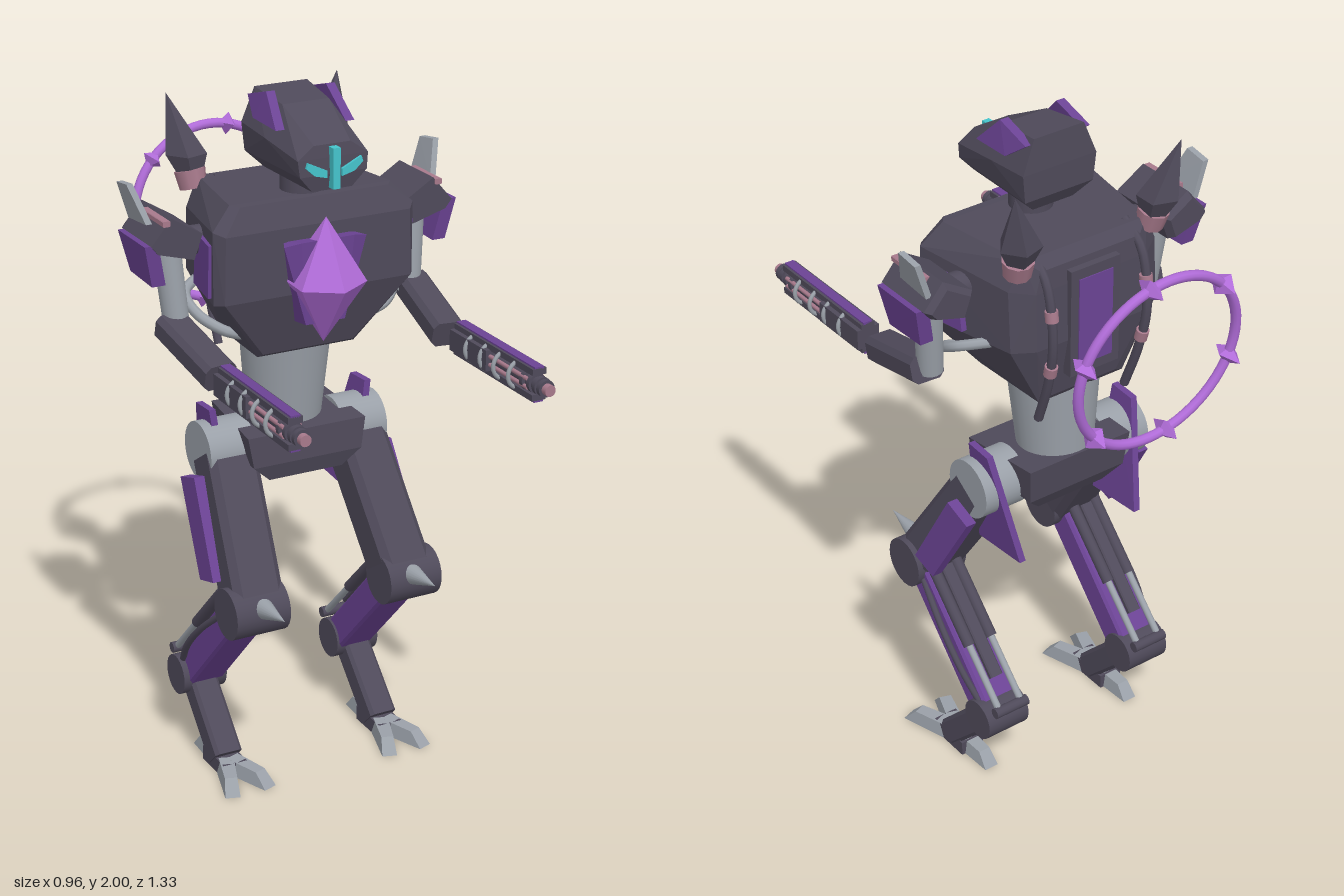
import * as THREE from 'three';
import { ConvexGeometry } from 'three/addons/geometries/ConvexGeometry.js';

const paint = (name, color) => {
  const m = new THREE.MeshStandardMaterial({ color });
  m.name = name;
  return m;
};

export function createModel() {
  const root = new THREE.Group();
  root.name = 'walkerRobot';
  const dark = paint('darkArmor', 0x4f4a5a), purple = paint('purpleArmor', 0x6b4394);
  const crystal = paint('crystalPurple', 0xb06cd8), silver = paint('silver', 0x9aa0a8);
  const cyan = paint('cyanGlow', 0x45c4cc), pink = paint('dustyPink', 0xa87a8c);
  const V = (x, y, z) => new THREE.Vector3(x, y, z);

  const add = (name, geo, mat) => {
    const m = new THREE.Mesh(geo, mat);
    m.name = name;
    root.add(m);
    return m;
  };
  // faceted solid around a set of corner points
  const hull = (name, mat, pts) => add(name, new ConvexGeometry(pts.map(p => V(...p))), mat);
  // plate with a side outline of [z, y, x] points and a thickness along x
  const plate = (name, mat, s, pts, t) =>
    hull(name, mat, pts.flatMap(([z, y, x]) => [[s * (x - t / 2), y, z], [s * (x + t / 2), y, z]]));
  const box = (name, mat, x, y, z, w, h, d) => {
    const m = add(name, new THREE.BoxGeometry(w, h, d), mat);
    m.position.set(x, y, z);
    return m;
  };
  // round bar from a to b
  const rod = (name, mat, a, b, r1, r2 = r1, seg = 20) => {
    const p = V(...a), q = V(...b), d = q.clone().sub(p);
    const m = add(name, new THREE.CylinderGeometry(r2, r1, d.length(), seg), mat);
    m.position.copy(p).add(q).multiplyScalar(0.5);
    m.quaternion.setFromUnitVectors(V(0, 1, 0), d.normalize());
    return m;
  };
  // chamfered limb from a to b, w wide along x and t thick
  const beam = (name, mat, a, b, w, t, c = 0.015) => {
    const p = V(...a), q = V(...b), d = q.clone().sub(p).normalize();
    const n = V(1, 0, 0).cross(d).normalize(), u = d.clone().cross(n).normalize();
    const pts = [];
    for (const e of [p, q]) for (const i of [-1, 1]) for (const j of [-1, 1])
      for (const [k, l] of [[c, 0], [0, c]])
        pts.push(e.clone().addScaledVector(u, i * (w / 2 - k)).addScaledVector(n, j * (t / 2 - l)).toArray());
    return hull(name, mat, pts);
  };
  const cable = (name, mat, pts, r) =>
    add(name, new THREE.TubeGeometry(new THREE.CatmullRomCurve3(pts.map(p => V(...p))), 20, r, 8), mat);
  const both = pts => pts.flatMap(([x, y, z]) => [[x, y, z], [-x, y, z]]);

  // head and neck
  hull('head', dark, both([
    [0.06, 1.765, 0.14], [0.1, 1.81, 0.148], [0.105, 1.855, 0.145], [0.055, 1.89, 0.14],
    [0.07, 1.968, -0.01], [0.118, 1.88, -0.02],
    [0.08, 1.985, -0.155], [0.118, 1.89, -0.16], [0.11, 1.81, -0.158], [0.065, 1.765, -0.13]]));
  rod('neck', dark, [0, 1.66, -0.035], [0, 1.78, -0.035], 0.06);
  box('visorBar', cyan, 0, 1.828, 0.15, 0.022, 0.112, 0.034);

  // torso
  hull('torso', dark, both([
    [0.225, 1.72, 0.045], [0.28, 1.65, 0.07], [0.285, 1.46, 0.07], [0.14, 1.275, 0.005],
    [0.245, 1.722, 0.02], [0.305, 1.66, 0.04], [0.305, 1.455, 0.04], [0.15, 1.265, -0.01],
    [0.2, 1.722, -0.27], [0.24, 1.64, -0.26], [0.24, 1.46, -0.27], [0.14, 1.265, -0.26],
    [0.16, 1.69, -0.295], [0.18, 1.63, -0.3], [0.18, 1.46, -0.305], [0.11, 1.28, -0.27]]));
  hull('chestPlate', purple, both([
    [0.1, 1.61, 0.05], [0.125, 1.61, 0.105], [0.06, 1.38, 0.105], [0.06, 1.37, 0.03], [0.08, 1.62, 0.12]]));
  const gem = add('chestCrystal', new THREE.LatheGeometry(
    [[0, -0.18], [0.115, 0], [0, 0.18]].map(p => new THREE.Vector2(...p)), 6).toNonIndexed(), crystal);
  gem.geometry.computeVertexNormals();
  gem.position.set(0, 1.5, 0.1);
  gem.rotation.set(0.04, 0, 0);
  box('backFrame', dark, 0, 1.51, -0.302, 0.16, 0.32, 0.03);
  box('backPanel', purple, 0, 1.51, -0.316, 0.11, 0.26, 0.009);
  rod('waist', silver, [0, 0.99, -0.15], [0, 1.28, -0.137], 0.104, 0.13, 32);
  hull('pelvis', dark, both([
    [0.185, 1.03, 0], [0.17, 0.94, 0.005], [0.115, 0.89, -0.01],
    [0.17, 1.05, -0.265], [0.16, 0.94, -0.25], [0.11, 0.89, -0.22]]));

  // floating ring with studs
  const halo = new THREE.Group();
  halo.name = 'floatingRing';
  halo.position.set(0, 1.505, -0.578);
  halo.rotation.x = -0.125;
  const ring = new THREE.Mesh(new THREE.TorusGeometry(0.255, 0.014, 10, 64), crystal);
  ring.name = 'ringBand';
  halo.add(ring);
  for (let k = 0; k < 6; k++) {
    const a = (17 + 60 * k) * Math.PI / 180;
    const stud = new THREE.Mesh(new THREE.OctahedronGeometry(1), crystal);
    stud.name = 'ringStud';
    stud.scale.set(0.033, 0.026, 0.049);
    stud.position.set(0.255 * Math.cos(a), 0.255 * Math.sin(a), 0);
    stud.rotation.z = a;
    halo.add(stud);
  }
  root.add(halo);

  for (const s of [1, -1]) {
    // face details
    hull('eye', cyan, [[0.022, 1.822], [0.022, 1.802], [0.06, 1.812], [0.085, 1.835], [0.08, 1.85]]
      .flatMap(([x, y]) => [[s * x, y, 0.148], [s * x, y, 0.156]]));
    plate('headFin', purple, s, [[0.045, 1.915, 0.105], [-0.04, 2, 0.09], [-0.15, 1.968, 0.09], [-0.085, 1.92, 0.108]], 0.026);

    // torso sides and back
    plate('sidePanel', purple, s, [[0.03, 1.62, 0.302], [-0.1, 1.62, 0.28], [-0.12, 1.47, 0.278], [0.02, 1.47, 0.302]], 0.02);
    cable('sidePipe', silver, [[s * 0.2, 1.34, -0.01], [s * 0.25, 1.36, -0.01], [s * 0.305, 1.4, -0.06],
      [s * 0.31, 1.44, -0.13], [s * 0.23, 1.46, -0.2]], 0.015);
    cable('backCable', dark, [[s * 0.15, 1.72, -0.24], [s * 0.155, 1.66, -0.31], [s * 0.155, 1.5, -0.34],
      [s * 0.15, 1.36, -0.315], [s * 0.145, 1.22, -0.265]], 0.013);
    rod('cableCollar', pink, [s * 0.155, 1.59, -0.331], [s * 0.155, 1.56, -0.335], 0.018);
    rod('cableCollar', pink, [s * 0.152, 1.42, -0.33], [s * 0.151, 1.39, -0.322], 0.018);

    // back spikes
    const ringAt = (r, x, y, z) => Array.from({ length: 5 }, (_, i) =>
      [s * (x + r * Math.cos(i * 1.257)), y, z + r * Math.sin(i * 1.257)]);
    rod('spikeSocket', pink, [s * 0.215, 1.69, -0.265], [s * 0.22, 1.74, -0.277], 0.038, 0.044, 10);
    hull('backSpike', dark, [...ringAt(0.035, 0.218, 1.725, -0.278), ...ringAt(0.06, 0.225, 1.785, -0.29),
      [s * 0.265, 1.95, -0.325]]);

    // shoulder armor
    hull('shoulderArmor', dark, [[0.44, 1.605], [0.46, 1.63], [0.4, 1.7], [0.31, 1.645], [0.335, 1.575]]
      .flatMap(([x, y]) => [[s * x, y, -0.01], [s * x, y, -0.2], [s * (x * 0.8 + 0.08), y * 0.8 + 0.325, -0.22]]));
    plate('shoulderPlate', purple, s, [[-0.015, 1.63, 0.457], [-0.19, 1.63, 0.457], [-0.17, 1.515, 0.432], [-0.03, 1.51, 0.432]], 0.04);
    plate('shoulderBlade', silver, s, [[-0.075, 1.67, 0.436], [-0.19, 1.66, 0.436], [-0.19, 1.765, 0.468], [-0.12, 1.775, 0.47]], 0.018);
    beam('shoulderStrip', pink, [s * 0.415, 1.687, -0.15], [s * 0.415, 1.687, -0.007], 0.022, 0.016, 0.002);

    // arm
    rod('shoulderJoint', dark, [s * 0.26, 1.6, -0.1], [s * 0.4, 1.6, -0.1], 0.04);
    rod('upperArm', silver, [s * 0.38, 1.62, -0.1], [s * 0.36, 1.36, -0.075], 0.04, 0.036);
    beam('forearm', dark, [s * 0.376, 1.375, -0.085], [s * 0.35, 1.305, 0.17], 0.095, 0.075);

    // forearm cannon
    const gx = s * 0.36, gy = 1.31;
    box('cannonBody', dark, gx, gy, 0.315, 0.07, 0.06, 0.19);
    rod('cannonCore', dark, [gx, gy, 0.4], [gx, gy, 0.62], 0.02);
    for (const j of [-1, 1]) {
      box('cannonRail', dark, gx, gy + j * 0.036, 0.42, 0.042, 0.018, 0.4);
      box('cannonStripe', purple, gx, gy + j * 0.046, 0.42, 0.028, 0.007, 0.4);
      for (const i of [-1, 1])
        rod('cannonRod', pink, [gx + i * 0.022, gy + j * 0.012, 0.4], [gx + i * 0.022, gy + j * 0.012, 0.6], 0.006, 0.006, 8);
    }
    for (const z of [0.31, 0.385, 0.455, 0.53])
      add('cannonCoil', new THREE.TorusGeometry(0.04, 0.006, 8, 24), silver).position.set(gx, gy, z);
    for (const z of [0.575, 0.605, 0.63, 0.65])
      rod('muzzleRing', dark, [gx, gy, z - 0.007], [gx, gy, z + 0.007], 0.03 - (z - 0.575) * 0.08);
    rod('muzzle', pink, [gx, gy, 0.61], [gx, gy, 0.675], 0.016);

    // hip and thigh
    rod('hipJoint', silver, [s * 0.14, 0.967, -0.127], [s * 0.28, 0.967, -0.127], 0.086, 0.086, 32);
    plate('hipFin', purple, s, [[-0.1, 1.095, 0.247], [-0.185, 1.09, 0.247], [-0.27, 0.77, 0.2], [-0.08, 0.755, 0.2]], 0.02);
    beam('thigh', dark, [s * 0.202, 0.985, -0.135], [s * 0.238, 0.58, 0.13], 0.15, 0.14, 0.02);
    plate('thighPanel', purple, s, [[-0.08, 0.91, 0.3], [-0.17, 0.88, 0.3], [-0.02, 0.625, 0.315], [0.065, 0.65, 0.315]], 0.032);

    // knee and shin
    rod('knee', dark, [s * 0.16, 0.58, 0.132], [s * 0.325, 0.58, 0.132], 0.074, 0.074, 24);
    rod('kneeSpike', silver, [s * 0.237, 0.6, 0.17], [s * 0.237, 0.62, 0.318], 0.034, 0);
    beam('shin', purple, [s * 0.248, 0.585, 0.122], [s * 0.248, 0.236, -0.21], 0.112, 0.095, 0.008);
    beam('shinSpine', dark, [s * 0.25, 0.6, 0.03], [s * 0.25, 0.35, -0.21], 0.04, 0.02, 0.004);
    for (const x of [0.212, 0.288]) {
      rod('pistonSleeve', dark, [s * x, 0.605, 0.04], [s * x, 0.43, -0.135], 0.017, 0.017, 12);
      rod('pistonRod', silver, [s * x, 0.43, -0.135], [s * x, 0.29, -0.275], 0.01, 0.01, 12);
    }
    rod('pistonPin', dark, [s * 0.195, 0.285, -0.28], [s * 0.305, 0.285, -0.28], 0.016, 0.016, 12);
    cable('shinCable', dark, [[s * 0.3, 0.56, 0.08], [s * 0.32, 0.46, -0.04], [s * 0.32, 0.36, -0.14], [s * 0.3, 0.26, -0.22]], 0.01);
    rod('ankle', dark, [s * 0.185, 0.23, -0.218], [s * 0.322, 0.23, -0.218], 0.06, 0.06, 24);
    beam('lowerLeg', dark, [s * 0.255, 0.23, -0.218], [s * 0.257, 0.035, -0.025], 0.085, 0.08, 0.01);

    // foot with three claws
    const fx = 0.257, fz = -0.03;
    box('footBase', dark, s * fx, 0.022, fz, 0.075, 0.044, 0.14);
    for (const [angle, len] of [[0.33, 0.185], [-0.33, 0.185], [Math.PI, 0.165]]) {
      const at = (u, y, v) => [s * (fx + u * Math.cos(angle) + v * Math.sin(angle)), y,
        fz - u * Math.sin(angle) + v * Math.cos(angle)];
      hull('toe', silver, [-1, 1].flatMap(i => [at(i * 0.028, 0, 0.03), at(i * 0.022, 0.045, 0.03),
        at(i * 0.018, 0.042, len * 0.78), at(i * 0.022, 0, len)]));
    }
  }
  return root;
}
